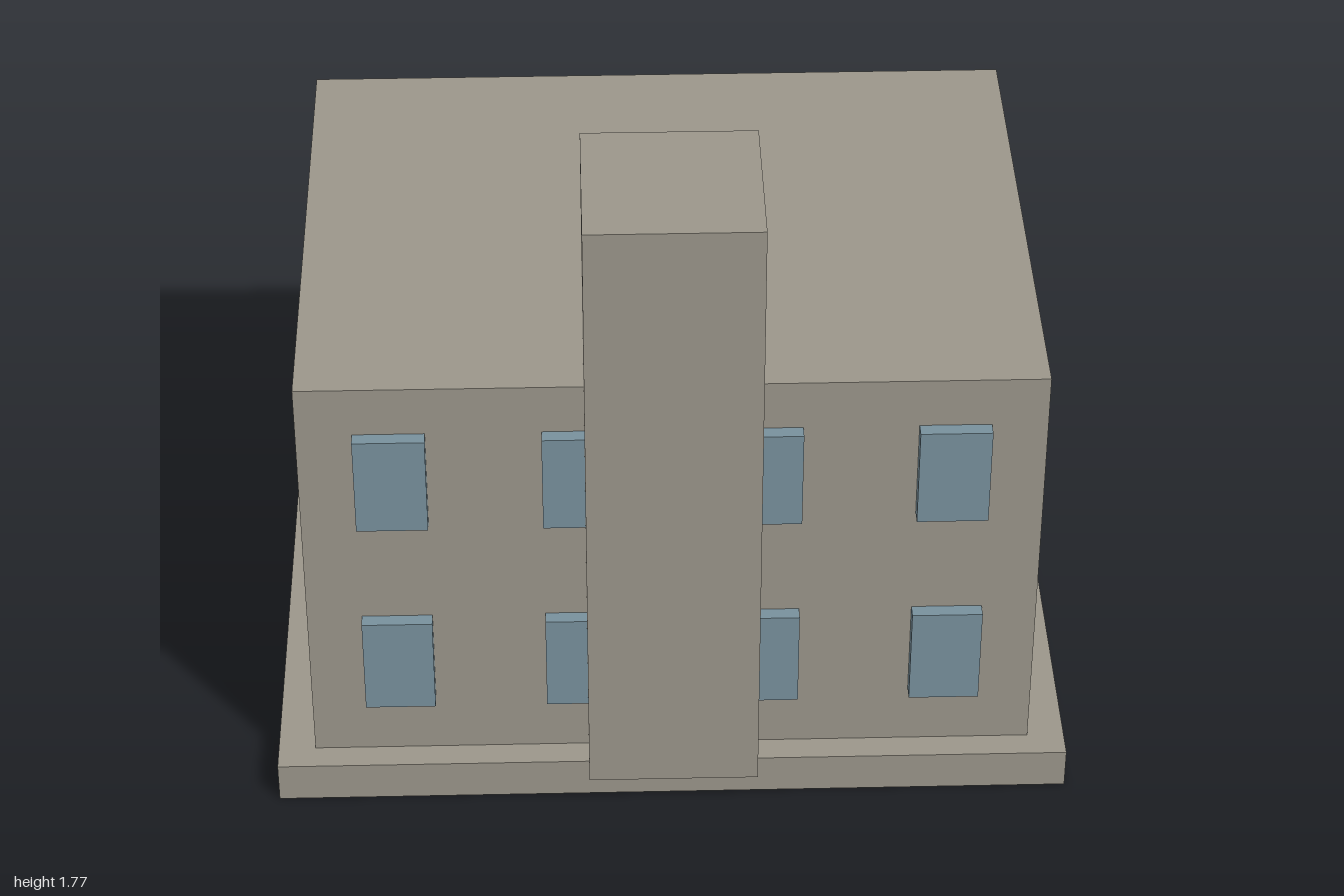
import * as THREE from 'three';

export function createModel() {
  const model = new THREE.Group();
  model.name = 'building';

  const concrete = new THREE.MeshStandardMaterial({ color: 0x9a958a });
  concrete.name = 'concrete';
  const glass = new THREE.MeshStandardMaterial({ color: 0x78909c });
  glass.name = 'blue grey glass';

  // Box given by its minimum and maximum corners
  function block(name, material, [x0, y0, z0], [x1, y1, z1]) {
    const geometry = new THREE.BoxGeometry(x1 - x0, y1 - y0, z1 - z0);
    const mesh = new THREE.Mesh(geometry, material);
    mesh.position.set((x0 + x1) / 2, (y0 + y1) / 2, (z0 + z1) / 2);
    mesh.name = name;
    model.add(mesh);
  }

  const baseTop = 0.107;
  const front = 0.665;
  const back = -0.738;

  // Plinth, main block and the tower standing out from the front wall
  block('plinth', concrete, [-1, 0, -0.81], [1, baseTop, 0.735]);
  block('mainBlock', concrete, [-0.907, baseTop, back], [0.907, 1.232, front]);
  block('tower', concrete, [-0.212, 0.11, 0.38], [0.212, 1.767, 0.81]);

  // Two storeys of four windows on the front and back walls
  const width = 0.175, height = 0.267, depth = 0.036;
  for (const y of [0.27, 0.833]) {
    for (const x of [-0.683, -0.228, 0.228, 0.683]) {
      const left = x - width / 2, right = x + width / 2;
      block('frontWindow', glass, [left, y, front], [right, y + height, front + depth]);
      block('backWindow', glass, [left, y, back - depth], [right, y + height, back]);
    }
  }

  return model;
}
